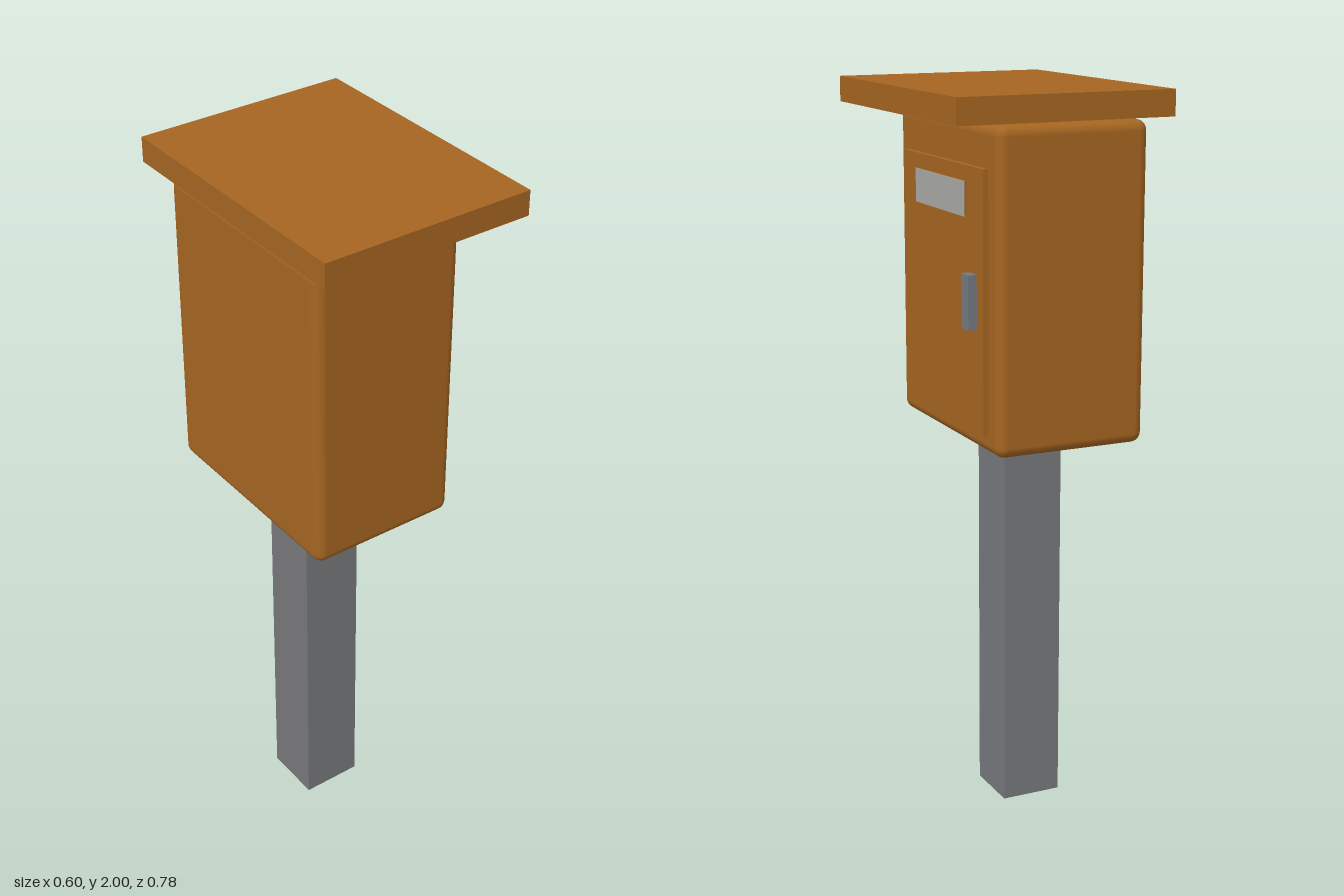
import * as THREE from 'three';
import { RoundedBoxGeometry } from 'three/addons/geometries/RoundedBoxGeometry.js';

const material = (name, color) => {
  const m = new THREE.MeshStandardMaterial({ color });
  m.name = name;
  return m;
};

export function createModel() {
  const group = new THREE.Group();
  group.name = 'mailbox';
  const paint = material('orangeBrown', 0xa56521);
  const steel = material('steelGrey', 0x77787b);
  const handleSteel = material('handleGrey', 0x757a80);
  const label = material('lightGrey', 0xa8a8a6);

  // Box from its [min, max] ranges; a radius rounds the edges
  const box = (name, mat, [x0, x1], [y0, y1], [z0, z1], radius = 0) => {
    const size = [x1 - x0, y1 - y0, z1 - z0];
    const geometry = radius
      ? new RoundedBoxGeometry(...size, 5, radius)
      : new THREE.BoxGeometry(...size);
    const mesh = new THREE.Mesh(geometry, mat);
    mesh.name = name;
    mesh.position.set((x0 + x1) / 2, (y0 + y1) / 2, (z0 + z1) / 2);
    group.add(mesh);
  };

  // Post, cabinet and the flat roof just above it
  box('post', steel, [-0.144, 0.026], [0, 1.08], [-0.084, 0.084]);
  box('cabinet', paint, [-0.27, 0.153], [1.074, 1.92], [-0.318, 0.318], 0.028);
  box('roof', paint, [-0.3, 0.298], [1.932, 2], [-0.391, 0.391]);

  // Door on the +x side with its slot plate and handle
  box('door', paint, [0.14, 0.168], [1.125, 1.81], [-0.257, 0.257]);
  box('slotFrame', paint, [0.16, 0.173], [1.68, 1.77], [-0.158, 0.158]);
  box('slotPlate', label, [0.173, 0.175], [1.68, 1.77], [-0.158, 0.158]);
  box('handle', handleSteel, [0.16, 0.192], [1.398, 1.54], [-0.219, -0.176]);

  return group;
}
